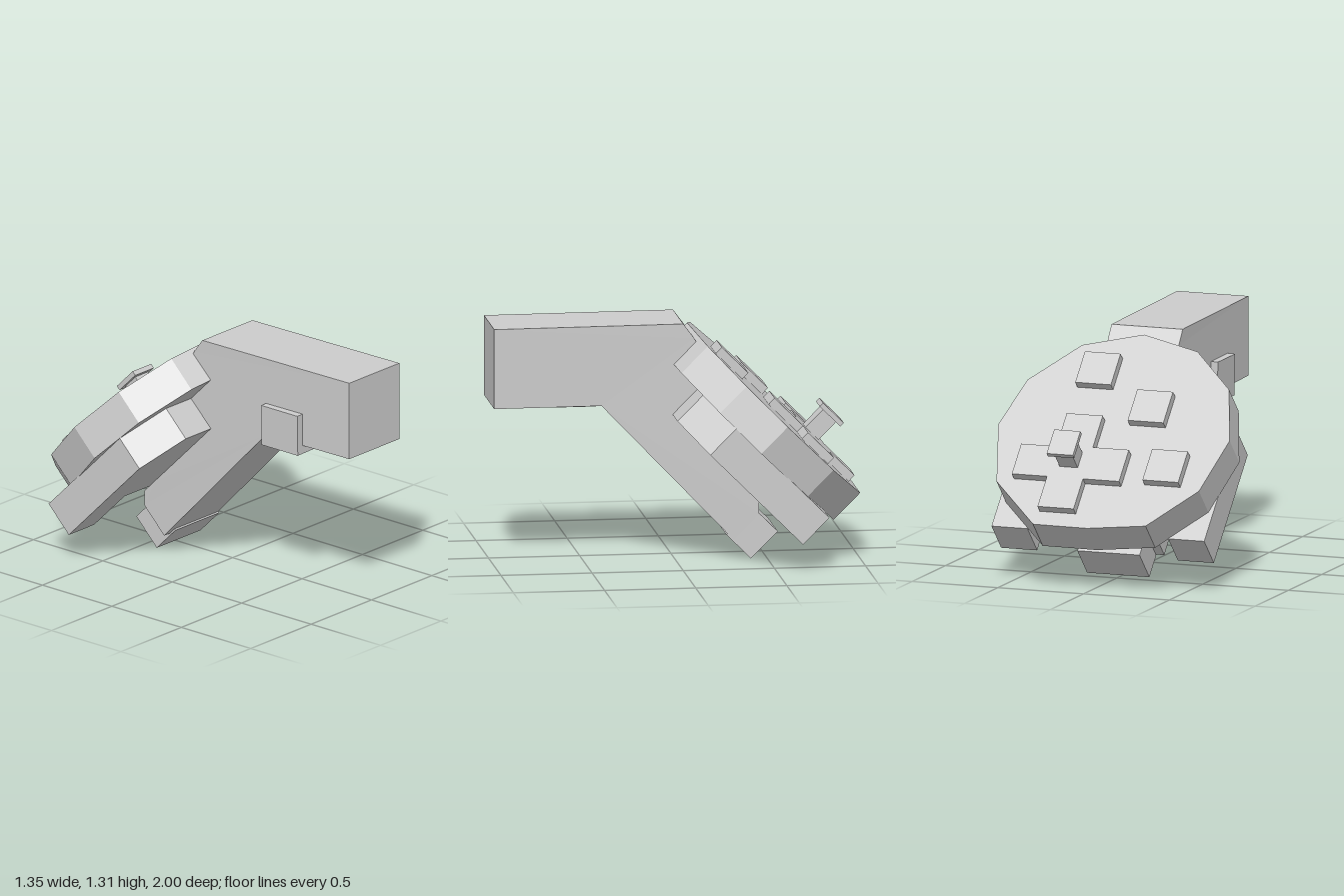
import * as THREE from 'three';

const material = new THREE.MeshStandardMaterial({ color: 0xcccccc, flatShading: true });

function add(parent, name, geometry) {
  const mesh = new THREE.Mesh(geometry, material);
  mesh.name = name;
  parent.add(mesh);
  return mesh;
}

// Prism from an outline of [x, v] points, between heights n0 and n1 (local y = n, local z = v)
function plate(points, n0, n1) {
  const shape = new THREE.Shape(points.map(([x, v]) => new THREE.Vector2(x, -v)));
  const g = new THREE.ExtrudeGeometry(shape, { depth: n1 - n0, bevelEnabled: false });
  return g.rotateX(-Math.PI / 2).translate(0, n0, 0);
}

// Box given by its limits
function block(x0, x1, y0, y1, z0, z1) {
  return new THREE.BoxGeometry(x1 - x0, y1 - y0, z1 - z0)
    .translate((x0 + x1) / 2, (y0 + y1) / 2, (z0 + z1) / 2);
}

// Point of the sloping frame as [z, y]
const slope = (v, n) => [(v - n) * Math.SQRT1_2, (v + n) * Math.SQRT1_2];

export function createModel() {
  const model = new THREE.Group();
  model.name = 'controlPanelOnArm';

  // Bent arm: side profile in [z, y], extruded across x and sheared slightly sideways
  const profile = [
    [1, 0.87], [1, 1.31], [-0.04, 1.31],
    slope(0.8, 0.94), slope(0.05, 0.72), slope(0.02, 0.56), slope(-0.085, 0.56),
    slope(-0.145, 0.5), slope(-0.145, 0.3), [0.41, 0.87],
  ];
  const armGeometry = new THREE.ExtrudeGeometry(
    new THREE.Shape(profile.map(([z, y]) => new THREE.Vector2(z, y))),
    { depth: 0.415, bevelEnabled: false },
  ).rotateY(-Math.PI / 2).translate(0.21, 0, 0);
  const p = armGeometry.attributes.position;
  for (let i = 0; i < p.count; i++) {
    p.setX(i, p.getX(i) + 0.02 * Math.max(0, p.getZ(i) + 0.04));
  }
  armGeometry.computeVertexNormals();
  add(model, 'arm', armGeometry);

  // Small block hugging the lower right edge of the arm
  const clip = add(model, 'armClip', new THREE.BoxGeometry(0.24, 0.23, 0.26));
  clip.position.set(-0.113, 0.939, 0.54);
  clip.rotation.z = 0.02;

  // Everything on the 45 degree slope
  const panel = new THREE.Group();
  panel.name = 'panel';
  panel.rotation.x = -Math.PI / 4;
  model.add(panel);

  add(panel, 'armTip', block(-0.155, 0.208, 0.292, 0.5, -0.29, -0.1));

  // Forked support under the disc
  const half = [[0.41, 0.587], [0.62, 0.373], [0.62, -0.346], [0.41, -0.346], [0.41, -0.037]];
  const mirrored = half.map(([x, v]) => [-x, v]).reverse();
  add(panel, 'forkedSupport', plate([...half, ...mirrored], 0.56, 0.765));

  // Round stud in the middle of the fork
  const stud = add(panel, 'stud', new THREE.CylinderGeometry(0.05, 0.05, 0.06, 16));
  stud.rotation.x = Math.PI / 2;
  stud.position.set(0.02, 0.66, -0.03);

  // Slightly irregular twelve-sided disc
  const rim = [
    [0, 0.838], [0.335, 0.742], [0.585, 0.49], [0.672, 0.187], [0.58, -0.185], [0.295, -0.447],
    [-0.02, -0.449], [-0.35, -0.407], [-0.592, -0.155], [-0.677, 0.187], [-0.582, 0.52], [-0.335, 0.752],
  ];
  add(panel, 'disc', plate(rim, 0.76, 0.965));

  // Square buttons
  for (const [x, v] of [[0.183, 0.568], [-0.184, 0.345], [-0.375, -0.036]]) {
    add(panel, 'button', block(x - 0.104, x + 0.104, 0.95, 1.012, v - 0.103, v + 0.103));
  }

  // Cross-shaped pad
  const cross = [
    [0.07, 0.26], [0.28, 0.26], [0.28, 0.04], [0.485, 0.04], [0.485, -0.16], [0.28, -0.16],
    [0.28, -0.36], [0.07, -0.36], [0.07, -0.16], [-0.14, -0.16], [-0.14, 0.05], [0.07, 0.05],
  ];
  add(panel, 'crossPad', plate(cross, 0.95, 1.012));

  // Lever with a flat cap
  add(panel, 'leverStalk', block(0.12, 0.225, 1, 1.16, -0.09, 0.01));
  add(panel, 'leverCap', block(0.095, 0.248, 1.148, 1.175, -0.12, 0.04));

  return model;
}
